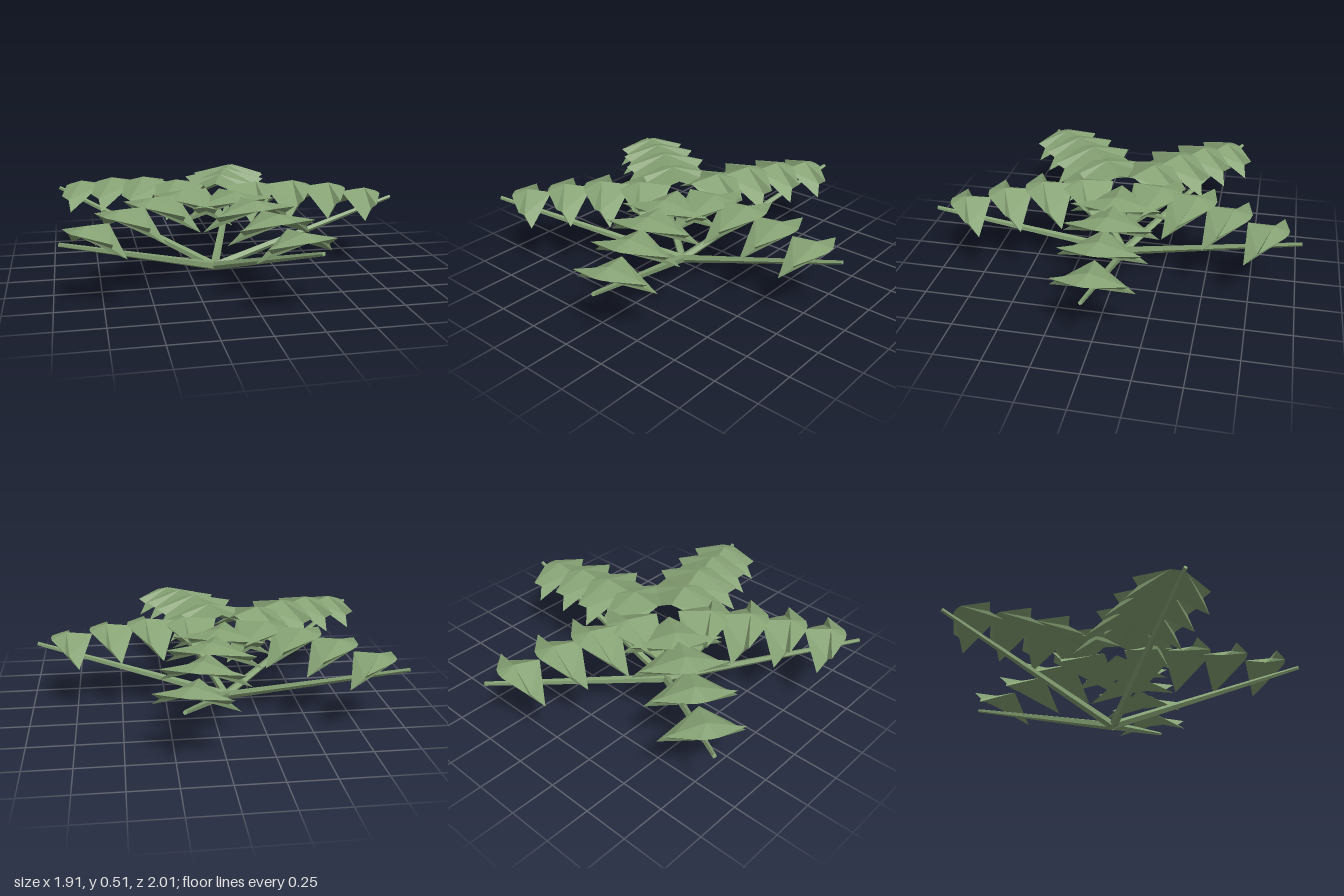
import * as THREE from 'three';

const ARMS = 5;

// Folded leaf: x points outward along the arm, the wings droop to both sides.
function leafGeometry() {
  const positions = [];
  for (const side of [1, -1]) {
    const inner = [-0.14, -0.015, 0];
    const peak = [0, 0, 0];
    const lowTip = [-0.07, -0.14, 0.22 * side];
    const notch = [-0.02, -0.085, 0.165 * side];
    const highTip = [0, -0.055, 0.2 * side];
    const outer = [0.08, -0.028, 0.04 * side];
    const outerMid = [0.085, -0.028, 0];
    const keel = [-0.02, -0.05, 0];
    const faces = [
      // upper side
      [inner, lowTip, notch], [inner, notch, peak], [peak, notch, highTip],
      [peak, highTip, outer], [peak, outer, outerMid],
      // underside
      [inner, keel, lowTip], [keel, outer, lowTip], [keel, outerMid, outer],
      [lowTip, outer, notch], [notch, outer, highTip],
    ];
    for (const [a, b, c] of faces) positions.push(...a, ...(side > 0 ? [...b, ...c] : [...c, ...b]));
  }
  const geometry = new THREE.BufferGeometry();
  geometry.setAttribute('position', new THREE.Float32BufferAttribute(positions, 3));
  geometry.computeVertexNormals();
  return geometry;
}

export function createModel() {
  const model = new THREE.Group();
  model.name = 'plant';
  const green = new THREE.MeshStandardMaterial({
    color: 0x86a274, flatShading: true, side: THREE.DoubleSide,
  });
  green.name = 'leaf green';

  // Straight tapering stem from the root to the tip of an arm
  const root = new THREE.Vector3(0, 0.025, 0);
  const tip = new THREE.Vector3(1.05, 0.385, 0);
  const direction = tip.clone().sub(root);
  const stemGeometry = new THREE.CylinderGeometry(0.011, 0.025, direction.length(), 5);
  const leaf = leafGeometry();

  // Radius, height of the peak and scale of each leaf along the arched row
  const leaves = [
    [0.24, 0.51, 1.27],
    [0.455, 0.508, 1.2],
    [0.67, 0.485, 1.1],
    [0.89, 0.445, 1],
  ];

  for (let i = 0; i < ARMS; i++) {
    const arm = new THREE.Group();
    arm.name = `arm${i + 1}`;
    arm.rotation.y = (i / ARMS) * Math.PI * 2;

    const stem = new THREE.Mesh(stemGeometry, green);
    stem.name = 'stem';
    stem.position.copy(root).add(tip).multiplyScalar(0.5);
    stem.quaternion.setFromUnitVectors(new THREE.Vector3(0, 1, 0), direction.clone().normalize());
    arm.add(stem);

    leaves.forEach(([radius, height, scale], j) => {
      const mesh = new THREE.Mesh(leaf, green);
      mesh.name = `leaf${j + 1}`;
      mesh.position.set(radius, height, 0);
      mesh.scale.set(scale, 1 + (scale - 1) * 0.6, scale);
      arm.add(mesh);
    });
    arm.position.x = -0.1;
    model.add(arm);
  }
  return model;
}
